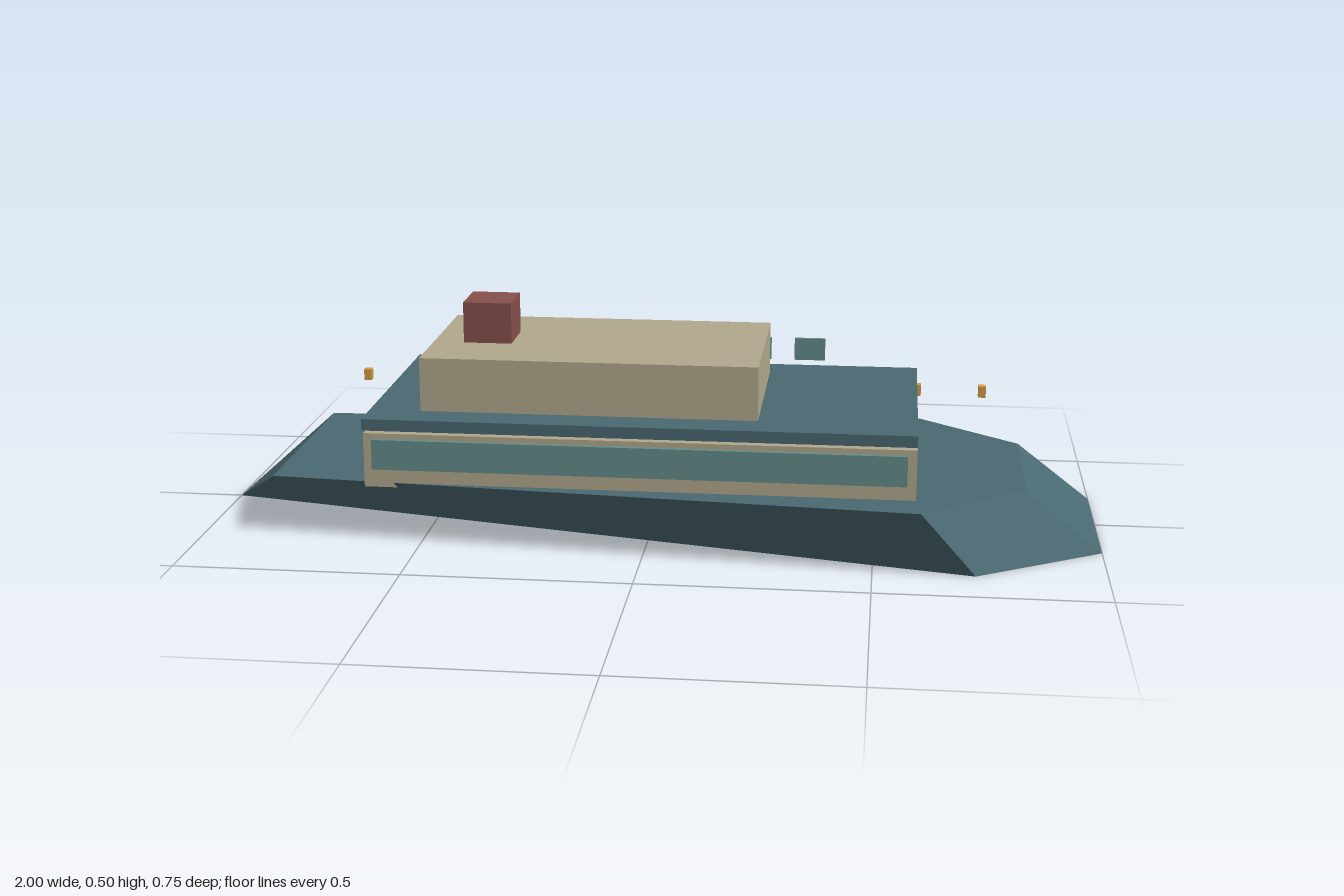
import * as THREE from 'three';

const mat = (name, color) => {
  const m = new THREE.MeshStandardMaterial({ color });
  m.name = name;
  return m;
};

// Faceted solid: every polygon is fanned from its first corner and shares one averaged normal
function facetedSolid(faces) {
  const pos = [], nor = [];
  for (const face of faces) {
    const p = face.map((c) => new THREE.Vector3(...c));
    const n = new THREE.Vector3();
    for (let i = 1; i < p.length - 1; i++) {
      n.add(p[i].clone().sub(p[0]).cross(p[i + 1].clone().sub(p[0])));
    }
    n.normalize();
    for (let i = 1; i < p.length - 1; i++) {
      for (const v of [p[0], p[i], p[i + 1]]) {
        pos.push(v.x, v.y, v.z);
        nor.push(n.x, n.y, n.z);
      }
    }
  }
  const g = new THREE.BufferGeometry();
  g.setAttribute('position', new THREE.Float32BufferAttribute(pos, 3));
  g.setAttribute('normal', new THREE.Float32BufferAttribute(nor, 3));
  return g;
}

export function createModel() {
  const model = new THREE.Group();
  model.name = 'ferry';
  const hullTeal = mat('hullTeal', 0x4a6870);
  const cabinBeige = mat('cabinBeige', 0xb0a88c);
  const windowGlass = mat('windowGlass', 0x648c89);
  const funnelRed = mat('funnelRed', 0x85504b);
  const lampGold = mat('lampGold', 0xd09c48);

  // Box given by its extents
  const box = (name, material, [x0, x1], [y0, y1], [z0, z1]) => {
    const mesh = new THREE.Mesh(new THREE.BoxGeometry(x1 - x0, y1 - y0, z1 - z0), material);
    mesh.position.set((x0 + x1) / 2, (y0 + y1) / 2, (z0 + z1) / 2);
    mesh.name = name;
    model.add(mesh);
  };

  // Hull: pointed keel at the stern, wide deck above, sloping bow
  const H = 0.135;
  const stern = [-1, 0, 0];
  const keelWide = (s) => [0.72, 0, 0.375 * s];
  const keelBow = (s) => [1, 0, 0.195 * s];
  const deckStern = (s) => [-0.84, H, 0.262 * s];
  const deckWide = (s) => [0.6, H, 0.375 * s];
  const deckBow = (s) => [0.83, H, 0.18 * s];
  const faces = [
    [stern, keelWide(-1), keelBow(-1), keelBow(1), keelWide(1)],
    [deckStern(1), deckWide(1), deckBow(1), deckBow(-1), deckWide(-1), deckStern(-1)],
    [stern, deckStern(1), deckStern(-1)],
    [keelBow(1), keelBow(-1), deckBow(-1), deckBow(1)],
  ];
  for (const s of [1, -1]) {
    const sides = [
      [keelWide(s), deckWide(s), deckStern(s), stern],
      [keelWide(s), keelBow(s), deckBow(s), deckWide(s)],
    ];
    for (const f of sides) faces.push(s > 0 ? f : f.reverse());
  }
  const hull = new THREE.Mesh(facetedSolid(faces), hullTeal);
  hull.name = 'hull';
  model.add(hull);

  // Decks and funnel
  box('lowerCabin', cabinBeige, [-0.625, 0.59], [0.125, 0.248], [-0.284, 0.284]);
  box('promenadeDeck', hullTeal, [-0.625, 0.59], [0.257, 0.283], [-0.295, 0.295]);
  box('upperCabin', cabinBeige, [-0.51, 0.242], [0.283, 0.404], [-0.214, 0.214]);
  box('funnel', funnelRed, [-0.44, -0.33], [0.404, 0.497], [-0.059, 0.059]);

  // Long window bands on both sides
  for (const s of [1, -1]) {
    const z = [0.284 * s, 0.295 * s].sort((a, b) => a - b);
    box('windowBand', windowGlass, [-0.605, 0.57], [0.168, 0.236], z);
  }

  // Row of upper windows along the back side
  for (let i = 0; i < 7; i++) {
    const x = -0.426 + 0.127 * i;
    box('upperWindow', windowGlass, [x - 0.036, x + 0.036], [0.316, 0.368], [-0.221, -0.212]);
  }

  // Small lamps
  for (const x of [-0.752, 0.592, 0.746]) {
    box('lamp', lampGold, [x - 0.009, x + 0.009], [0.22, 0.247], [-0.291, -0.271]);
  }
  return model;
}
